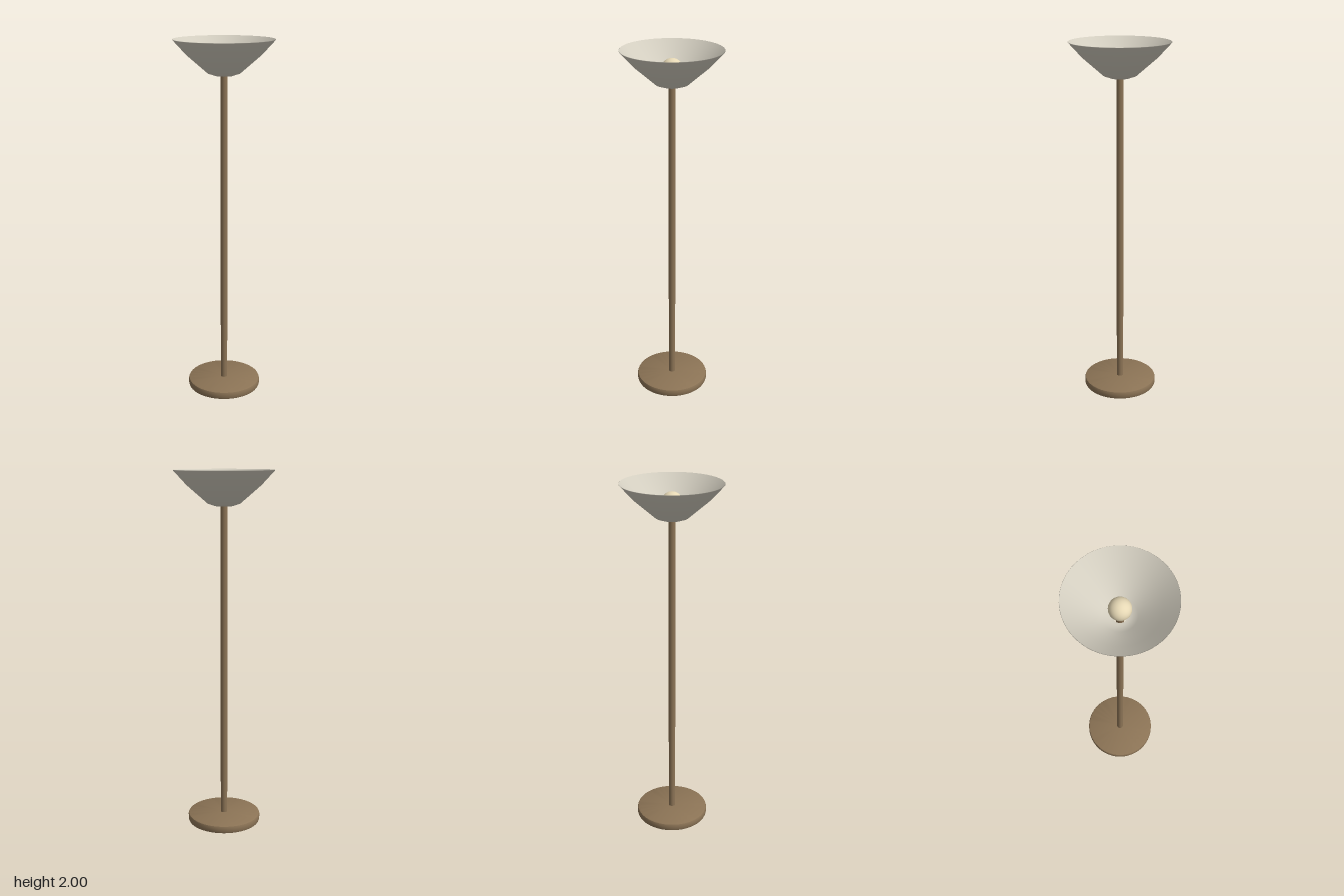
import * as THREE from 'three';
import { toCreasedNormals } from 'three/addons/utils/BufferGeometryUtils.js';

const material = (name, color) => {
  const m = new THREE.MeshStandardMaterial({ color });
  m.name = name;
  return m;
};

const lathe = (points, segments = 64) =>
  new THREE.LatheGeometry(points.map(([r, y]) => new THREE.Vector2(r, y)), segments);

export function createModel() {
  const bronze = material('bronze', 0x8b7355);
  const shadeWhite = material('shadeWhite', 0xd2cdbf);
  const bulbCream = material('bulbCream', 0xe6d8b5);

  const lamp = new THREE.Group();
  lamp.name = 'floorLamp';
  const add = (name, geometry, mat, y = 0) => {
    const mesh = new THREE.Mesh(geometry, mat);
    mesh.name = name;
    mesh.position.y = y;
    lamp.add(mesh);
  };

  // Round base with softened edges
  const base = lathe([
    [0, 0], [0.196, 0], [0.204, 0.004], [0.207, 0.012],
    [0.207, 0.035], [0.204, 0.043], [0.196, 0.047], [0, 0.047],
  ]);
  add('base', toCreasedNormals(base, 0.7), bronze);

  // Pole, running up through the shade to the bulb
  add('pole', new THREE.CylinderGeometry(0.019, 0.019, 1.82, 32), bronze, 0.95);

  // Thin flared bowl: up the outside, over the rim, down the inside
  add('shade', lathe([
    [0.034, 1.817], [0.05, 1.81], [0.088, 1.823], [0.2, 1.92], [0.272, 1.998],
    [0.27, 2], [0.196, 1.926], [0.085, 1.831], [0.05, 1.818], [0.034, 1.817],
  ]), shadeWhite);

  // Globe bulb
  add('bulb', new THREE.SphereGeometry(0.056, 32, 24), bulbCream, 1.9);

  return lamp;
}
